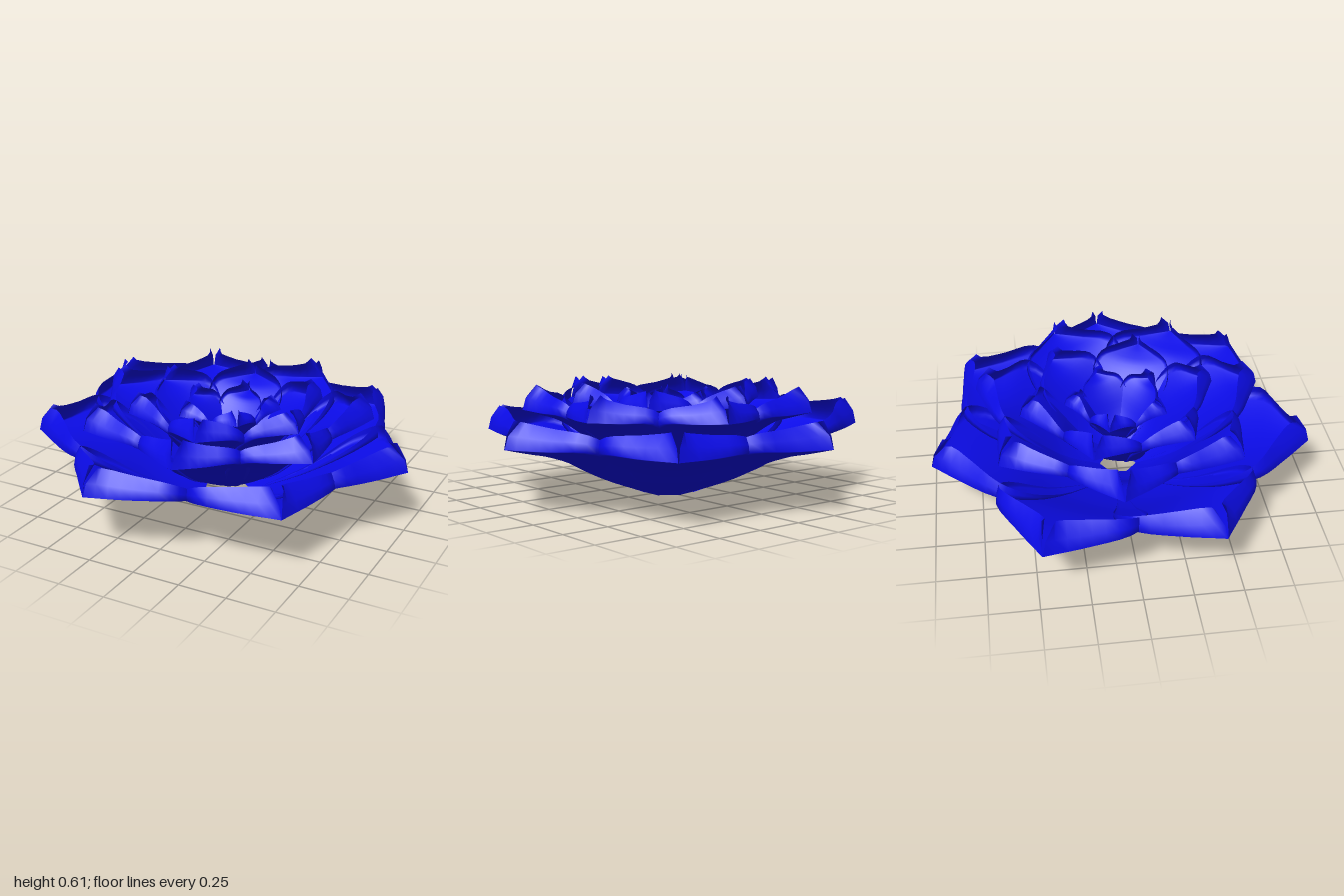
import * as THREE from 'three';

// One cupped, pointed petal along +x: a curved floor whose sides turn up into a lip that folds in at the tip.
// stations: [radius, height, half width, lip height, edge rise] from base to tip
function petalGeometry({ stations, lean }) {
  const spine = new THREE.CatmullRomCurve3(stations.map(([r, y, w]) => new THREE.Vector3(r, y, w)), false, 'centripetal');
  const edge = new THREE.CatmullRomCurve3(stations.map(([, , , l, e], i) => new THREE.Vector3(i * 0.2, l, e)), false, 'centripetal');
  const floor = [-1, -0.92, -0.75, -0.5, -0.25, 0, 0.25, 0.5, 0.75, 0.92, 1];
  const rows = 18, cols = floor.length + 4;
  const positions = [], index = [];
  for (let i = 0; i <= rows; i++) {
    const t = i / rows;
    const { x: r, y, z } = spine.getPoint(t);
    const { y: lip, z: rise } = edge.getPoint(t);
    const w = Math.max(z, 0.002);
    const fold = lean * THREE.MathUtils.smoothstep(t, 0.35, 1);
    const lipPoint = (side, k) => {
      const pull = fold * k * k;
      positions.push(r - pull, y + rise + lip * k, side * Math.max(w - pull * 0.5, pull * 0.4));
    };
    lipPoint(-1, 1);
    lipPoint(-1, 0.5);
    for (const v of floor) positions.push(r, y + rise * v * v, w * v);
    lipPoint(1, 0.5);
    lipPoint(1, 1);
  }
  for (let i = 0; i < rows; i++) {
    for (let j = 0; j < cols - 1; j++) {
      const a = i * cols + j, b = a + 1, c = a + cols, d = c + 1;
      index.push(a, b, c, b, d, c);
    }
  }
  const geometry = new THREE.BufferGeometry();
  geometry.setAttribute('position', new THREE.Float32BufferAttribute(positions, 3));
  geometry.setIndex(index);
  geometry.computeVertexNormals();
  return geometry;
}

export function createModel() {
  const blue = new THREE.MeshStandardMaterial({ color: 0x0b0be6, side: THREE.DoubleSide });
  blue.name = 'petal blue';

  const even = (count, start) => Array.from({ length: count }, (_, i) => start + (i * 360) / count);
  const rings = [
    {
      name: 'outerPetal', angles: [0, 48, 105, 157, 206, 257, 306.5], lean: 0.075,
      reach: [1, 0.992, 0.995, 1.01, 1.065, 0.995, 0.99],
      stations: [[0.12, 0, 0.06, 0, 0], [0.38, 0.095, 0.23, 0.01, 0.03], [0.6, 0.205, 0.37, 0.04, 0.07],
        [0.77, 0.265, 0.35, 0.075, 0.065], [0.9, 0.295, 0.18, 0.105, 0.03], [1.02, 0.325, 0, 0.135, 0]],
    },
    {
      name: 'secondPetal', angles: even(7, 30.5), lean: 0.075,
      stations: [[0.09, 0.07, 0.045, 0, 0], [0.27, 0.16, 0.17, 0.01, 0.02], [0.45, 0.31, 0.28, 0.035, 0.06],
        [0.58, 0.4, 0.265, 0.06, 0.05], [0.69, 0.435, 0.13, 0.09, 0.02], [0.78, 0.46, 0, 0.13, 0]],
    },
    {
      name: 'thirdPetal', angles: even(6, 20), lean: 0.06,
      stations: [[0.06, 0.14, 0.035, 0, 0], [0.18, 0.22, 0.13, 0.01, 0.02], [0.3, 0.36, 0.21, 0.03, 0.04],
        [0.39, 0.44, 0.19, 0.05, 0.04], [0.46, 0.475, 0.1, 0.08, 0.02], [0.53, 0.5, 0, 0.105, 0]],
    },
    {
      name: 'innerPetal', angles: even(5, 52), lean: 0.05,
      stations: [[0.03, 0.24, 0.022, 0, 0], [0.09, 0.31, 0.075, 0.01, 0.01], [0.15, 0.4, 0.125, 0.02, 0.02],
        [0.2, 0.455, 0.105, 0.035, 0.02], [0.24, 0.475, 0.05, 0.055, 0.01], [0.285, 0.49, 0, 0.075, 0]],
    },
  ];

  const flower = new THREE.Group();
  flower.name = 'flower';
  for (const ring of rings) {
    const geometry = petalGeometry(ring);
    const group = new THREE.Group();
    group.name = ring.name + 'Ring';
    ring.angles.forEach((angle, i) => {
      const petal = new THREE.Mesh(geometry, blue);
      petal.name = ring.name;
      petal.rotation.y = -THREE.MathUtils.degToRad(angle);
      const reach = ring.reach ? ring.reach[i] : 1;
      petal.scale.set(reach, reach, 1);
      group.add(petal);
    });
    flower.add(group);
  }
  flower.position.x = -0.02;

  const model = new THREE.Group();
  model.name = 'layeredFlower';
  model.add(flower);
  return model;
}
